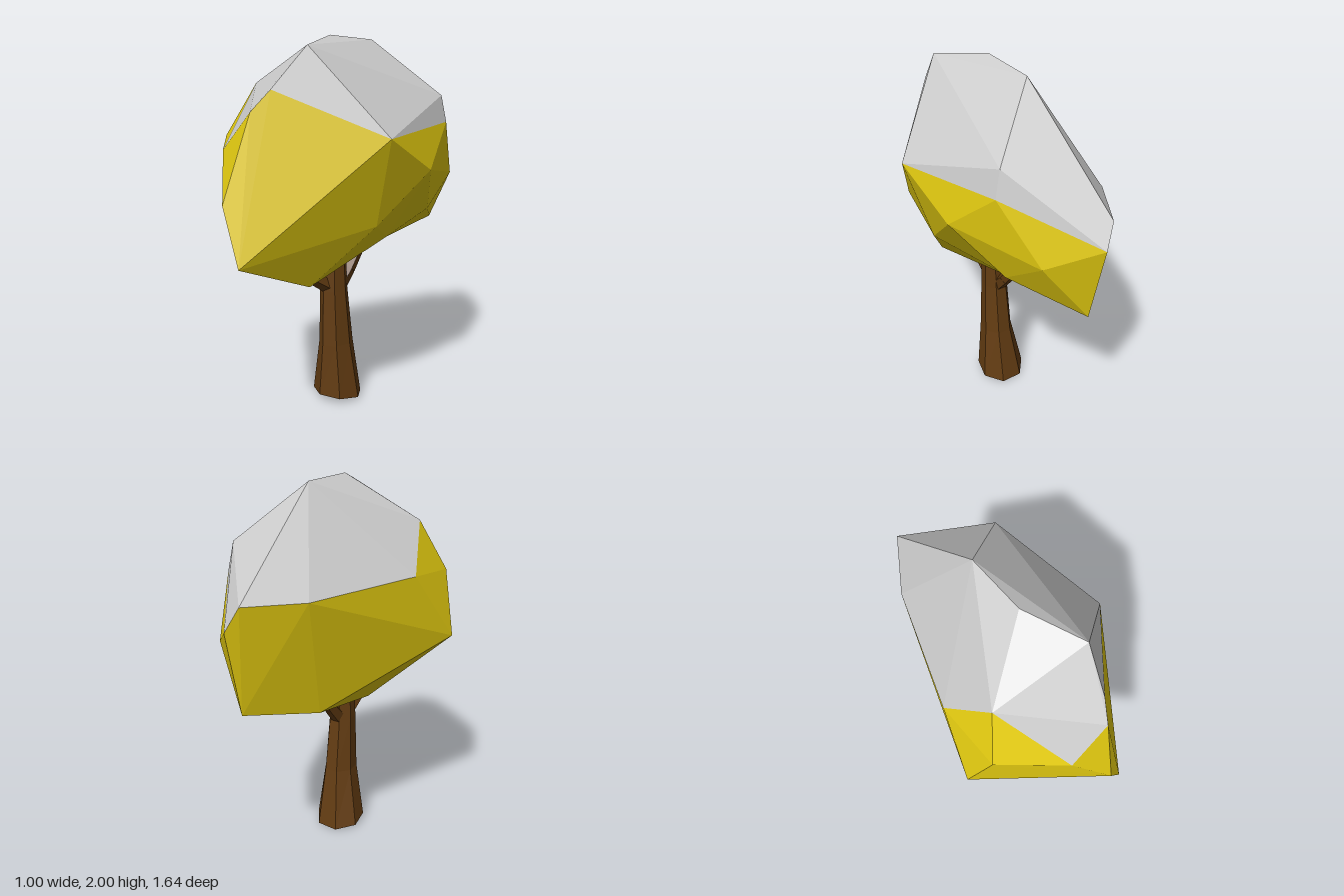
import * as THREE from 'three';
import { ConvexGeometry } from 'three/addons/geometries/ConvexGeometry.js';

const material = (color) => new THREE.MeshStandardMaterial({ color, flatShading: true });
const bark = material(0x633c12);
const leaf = material(0xe0c810);
const snow = material(0xcccccc);

// Corners of the snow cap, including its rim
const capPoints = [
  [0.02, 2, 0.11], [0.01, 1.98, -0.2], [0.17, 1.95, 0.39], [-0.3, 1.76, 0.34],
  [0.13, 1.75, 0.58], [0.09, 1.65, 0.67], [-0.11, 1.46, 0.69], [0.5, 1.52, 0.16],
  [0.31, 1.69, -0.43], [0.34, 1.55, -0.44], [-0.06, 1.48, -0.78], [0, 1.36, -0.82],
  [-0.23, 1.47, -0.5], [-0.42, 1.51, 0.12],
];
// Corners of the foliage; a fourth number dents the underside upward
const leafPoints = [
  [0.06, 1.23, 0.82], [0.17, 0.945, 0.82], [-0.5, 1.15, 0.39], [-0.4, 1.49, 0.47],
  [0.18, 0.77, 0.4], [0.45, 1.33, -0.19], [0.37, 1.07, 0.12], [0.26, 1.07, -0.4],
  [0.22, 1.24, -0.64], [0, 0.93, -0.73], [-0.17, 0.86, -0.35], [-0.16, 0.81, 0.09],
  [-0.27, 1.06, 0.39], [-0.06, 0.8, 0.48, 0.13], [0.12, 0.75, -0.22, 0.16],
  [0, 0.72, 0.1, 0.2],
];

// Faceted crown: one hull, split into cap faces and leaf faces
function buildCrown() {
  const all = [...capPoints, ...leafPoints];
  const points = all.map(([x, y, z]) => new THREE.Vector3(x, y, z));
  const hull = new ConvexGeometry(points).attributes.position;
  const faces = { cap: [], foliage: [] };
  const v = new THREE.Vector3();
  for (let i = 0; i < hull.count; i += 3) {
    const corners = [0, 1, 2].map((k) => {
      v.fromBufferAttribute(hull, i + k);
      return points.findIndex((p) => p.distanceTo(v) < 1e-4);
    });
    const target = corners.every((c) => c < capPoints.length) ? faces.cap : faces.foliage;
    for (const c of corners) {
      const [x, y, z, dent = 0] = all[c];
      target.push(x, y + dent, z);
    }
  }
  const toMesh = (name, positions, mat) => {
    const geometry = new THREE.BufferGeometry();
    geometry.setAttribute('position', new THREE.Float32BufferAttribute(positions, 3));
    geometry.computeVertexNormals();
    const mesh = new THREE.Mesh(geometry, mat);
    mesh.name = name;
    return mesh;
  };
  return [toMesh('snowCap', faces.cap, snow), toMesh('foliage', faces.foliage, leaf)];
}

// Trunk: a cylinder whose rings are moved to follow the flared, leaning profile
function buildTrunk() {
  // y, centre x, centre z, radius x, radius z, from top to bottom
  const rings = [
    [0.97, 0.02, 0.09, 0.06, 0.065],
    [0.65, 0.015, 0.085, 0.075, 0.078],
    [0.34, 0.015, 0.07, 0.09, 0.1],
    [0.02, 0, 0.045, 0.14, 0.137],
  ];
  const geometry = new THREE.CylinderGeometry(1, 1, 3, 7, 3);
  const p = geometry.attributes.position;
  for (let i = 0; i < p.count; i++) {
    const [y, cx, cz, rx, rz] = rings[Math.round(1.5 - p.getY(i))];
    const slant = y < 0.1 ? p.getZ(i) * 0.02 : 0;
    p.setXYZ(i, cx + p.getX(i) * rx, y + slant, cz + p.getZ(i) * rz);
  }
  geometry.computeVertexNormals();
  const mesh = new THREE.Mesh(geometry, bark);
  mesh.name = 'trunk';
  return mesh;
}

// Branch: tapered five-sided pieces along a short path of [x, y, z, radius]
function buildBranch(name, path) {
  const group = new THREE.Group();
  group.name = name;
  for (let i = 0; i + 1 < path.length; i++) {
    const a = new THREE.Vector3(...path[i].slice(0, 3));
    const b = new THREE.Vector3(...path[i + 1].slice(0, 3));
    const along = b.clone().sub(a);
    const piece = new THREE.Mesh(
      new THREE.CylinderGeometry(path[i + 1][3], path[i][3], along.length(), 5), bark);
    piece.name = name + 'Piece';
    piece.position.copy(a).add(b).multiplyScalar(0.5);
    piece.quaternion.setFromUnitVectors(new THREE.Vector3(0, 1, 0), along.normalize());
    group.add(piece);
  }
  return group;
}

export function createModel() {
  const tree = new THREE.Group();
  tree.name = 'snowyTree';
  tree.add(
    buildTrunk(),
    buildBranch('frontBranch', [[0.01, 0.66, 0.1, 0.045], [0.01, 0.74, 0.23, 0.036], [-0.01, 0.86, 0.38, 0.025]]),
    buildBranch('backBranch', [[0.01, 0.64, 0.06, 0.045], [0.01, 0.74, -0.03, 0.038], [0, 0.92, -0.17, 0.03]]),
    ...buildCrown(),
  );
  return tree;
}
